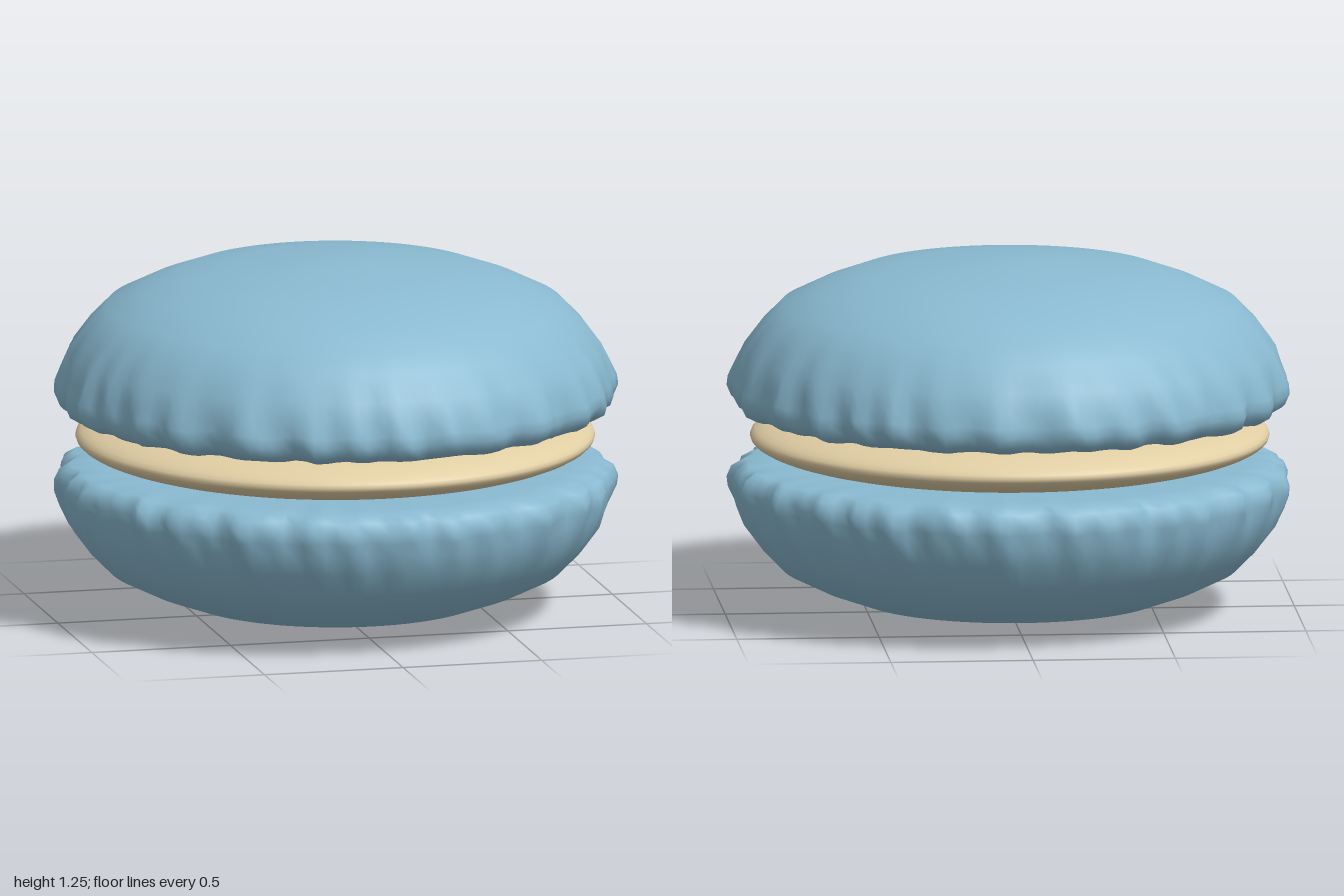
import * as THREE from 'three';
import { mergeVertices } from 'three/addons/utils/BufferGeometryUtils.js';

const MID = 0.63; // height of the mirror plane between the two shells

// Shell half profile: [radius, height above MID, ruffle strength]
const PROFILE = [
  [0, 0.092, 0], [0.6, 0.092, 0], [0.84, 0.091, 0.2], [0.92, 0.096, 0.7],
  [0.955, 0.118, 1], [0.97, 0.155, 1], [0.968, 0.19, 0.9], [0.955, 0.24, 0.6],
  [0.932, 0.31, 0.2], [0.87, 0.395, 0.04], [0.8, 0.466, 0], [0.68, 0.525, 0],
  [0.54, 0.576, 0], [0.37, 0.6, 0], [0.19, 0.619, 0], [0.08, 0.625, 0], [0, 0.626, 0],
];

// Irregular ripple around the rim, periodic in the angle
function ripple(a, h) {
  return 0.013 * Math.sin(31 * a + 1.6 * Math.sin(5 * a) + 6 * h)
    + 0.008 * Math.sin(19 * a + 1.3 + 2 * Math.sin(3 * a))
    + 0.006 * Math.sin(47 * a + 0.7 - 14 * h);
}

// side = 1 for the upper shell, -1 for its mirrored twin
function shellGeometry(side) {
  const points = PROFILE.map(([r, h]) => new THREE.Vector2(r, MID + side * h));
  const strength = PROFILE.map((p) => p[2]);
  if (side < 0) { points.reverse(); strength.reverse(); }
  const geo = new THREE.LatheGeometry(points, 160);
  const pos = geo.attributes.position;
  for (let i = 0; i < pos.count; i++) {
    const s = strength[i % points.length];
    const x = pos.getX(i), y = pos.getY(i), z = pos.getZ(i);
    const r = Math.hypot(x, z);
    if (s === 0 || r < 1e-6) continue;
    const a = Math.atan2(x, z), h = Math.abs(y - MID);
    const k = 1 + s * ripple(a, h) / r;
    const lift = 0.4 * s * ripple(a + 0.4, h);
    pos.setXYZ(i, x * k, y + side * Math.max(lift, -0.004), z * k);
  }
  // weld the seam so the shading stays smooth
  geo.deleteAttribute('uv');
  geo.deleteAttribute('normal');
  const welded = mergeVertices(geo, 1e-4);
  welded.computeVertexNormals();
  return welded;
}

export function createModel() {
  const group = new THREE.Group();
  group.name = 'sandwichCookie';
  const shellBlue = new THREE.MeshStandardMaterial({ color: 0x8abad1 });
  shellBlue.name = 'shell blue';
  const creamBeige = new THREE.MeshStandardMaterial({ color: 0xe1cea4 });
  creamBeige.name = 'cream beige';

  // Domed shells with ruffled rims
  for (const [name, side] of [['upperShell', 1], ['lowerShell', -1]]) {
    const shell = new THREE.Mesh(shellGeometry(side), shellBlue);
    shell.name = name;
    group.add(shell);
  }

  // Flattened cream filling
  const filling = new THREE.Mesh(new THREE.SphereGeometry(1, 96, 32), creamBeige);
  filling.scale.set(0.91, 0.13, 0.91);
  filling.position.y = MID;
  filling.name = 'creamFilling';
  group.add(filling);
  return group;
}
